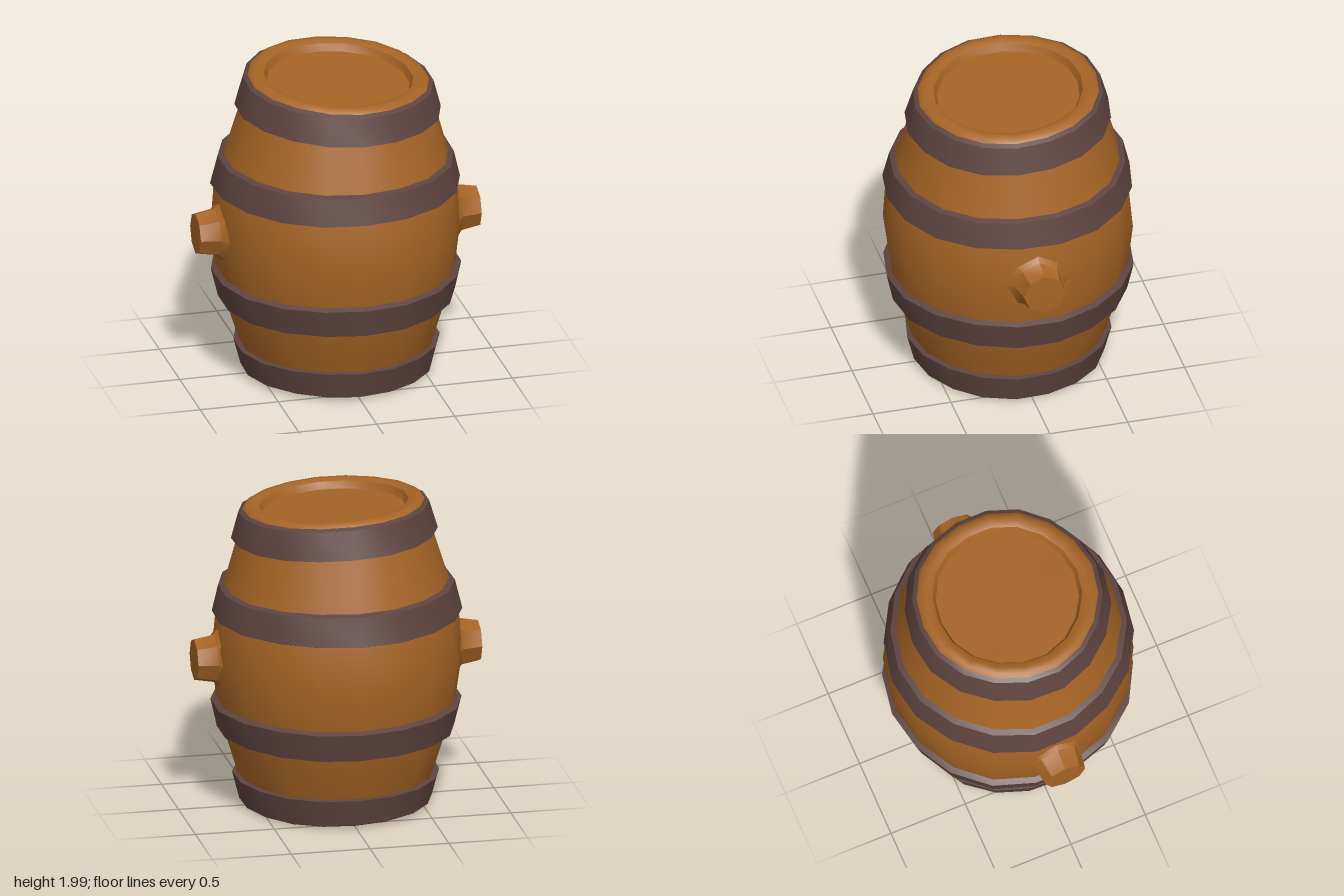
import * as THREE from 'three';
import { toCreasedNormals } from 'three/addons/utils/BufferGeometryUtils.js';

const SIDES = 18;

// Hand-hewn irregularity: slightly uneven staves, a leaning top and base
function weather(geometry) {
  const p = geometry.attributes.position;
  for (let i = 0; i < p.count; i++) {
    const x = p.getX(i), y = p.getY(i), z = p.getZ(i);
    const angle = Math.atan2(z, x);
    const k = 1 + 0.007 * Math.sin(5 * angle + 3 * y);
    const top = THREE.MathUtils.smoothstep(y, 1.2, 1.95);
    const base = 1 - THREE.MathUtils.smoothstep(y, 0, 0.3);
    const lean = top * (-0.045 * x - 0.05 * z) - base * 0.014 * x;
    p.setXYZ(i, x * k + 0.015 * top, y + lean, z * k);
  }
  return geometry;
}

function turned(points, sides) {
  return new THREE.LatheGeometry(points.map(([r, y]) => new THREE.Vector2(r, y)), sides);
}

export function createModel() {
  const wood = new THREE.MeshStandardMaterial({ color: 0xa66425 });
  const iron = new THREE.MeshStandardMaterial({ color: 0x5e4440 });
  const barrel = new THREE.Group();
  barrel.name = 'barrel';

  const add = (name, geometry, material) => {
    const mesh = new THREE.Mesh(toCreasedNormals(geometry, 0.7), material);
    mesh.name = name;
    barrel.add(mesh);
  };

  // Bulging staves
  add('staves', weather(turned([
    [0.59, 0.15], [0.61, 0.2], [0.70, 0.49], [0.745, 0.69], [0.778, 0.95],
    [0.755, 1.24], [0.70, 1.43], [0.605, 1.75], [0.56, 1.9],
  ], SIDES)), wood);

  // Recessed bottom and lid, with the rounded wooden rim
  add('bottom', weather(turned([[0, 0.06], [0.46, 0.06]], SIDES)), wood);
  add('lidAndRim', weather(turned([
    [0.565, 1.935], [0.54, 1.957], [0.50, 1.96], [0.465, 1.945], [0.445, 1.9], [0, 1.9],
  ], SIDES)), wood);

  // Hoops; the lowest wraps under the base, the highest meets the rim
  const hoops = {
    baseHoop: [[0.45, 0.06], [0.47, 0.025], [0.57, 0.012], [0.598, 0.025], [0.642, 0.195], [0.60, 0.2]],
    lowerHoop: [[0.69, 0.485], [0.737, 0.49], [0.779, 0.67], [0.735, 0.69]],
    upperHoop: [[0.75, 1.235], [0.777, 1.245], [0.735, 1.42], [0.69, 1.435]],
    topHoop: [[0.60, 1.735], [0.642, 1.745], [0.592, 1.92], [0.56, 1.937]],
  };
  for (const [name, points] of Object.entries(hoops)) {
    add(name, weather(turned(points, SIDES)), iron);
  }

  // Stubby bungs flaring out of both sides
  for (const side of [1, -1]) {
    const bung = turned([[0.25, 0.70], [0.155, 0.775], [0.132, 0.9], [0, 0.905]], 8);
    bung.rotateZ(-side * Math.PI / 2).translate(0, 0.975, 0.005);
    add(side > 0 ? 'leftBung' : 'rightBung', bung, wood);
  }

  return barrel;
}
